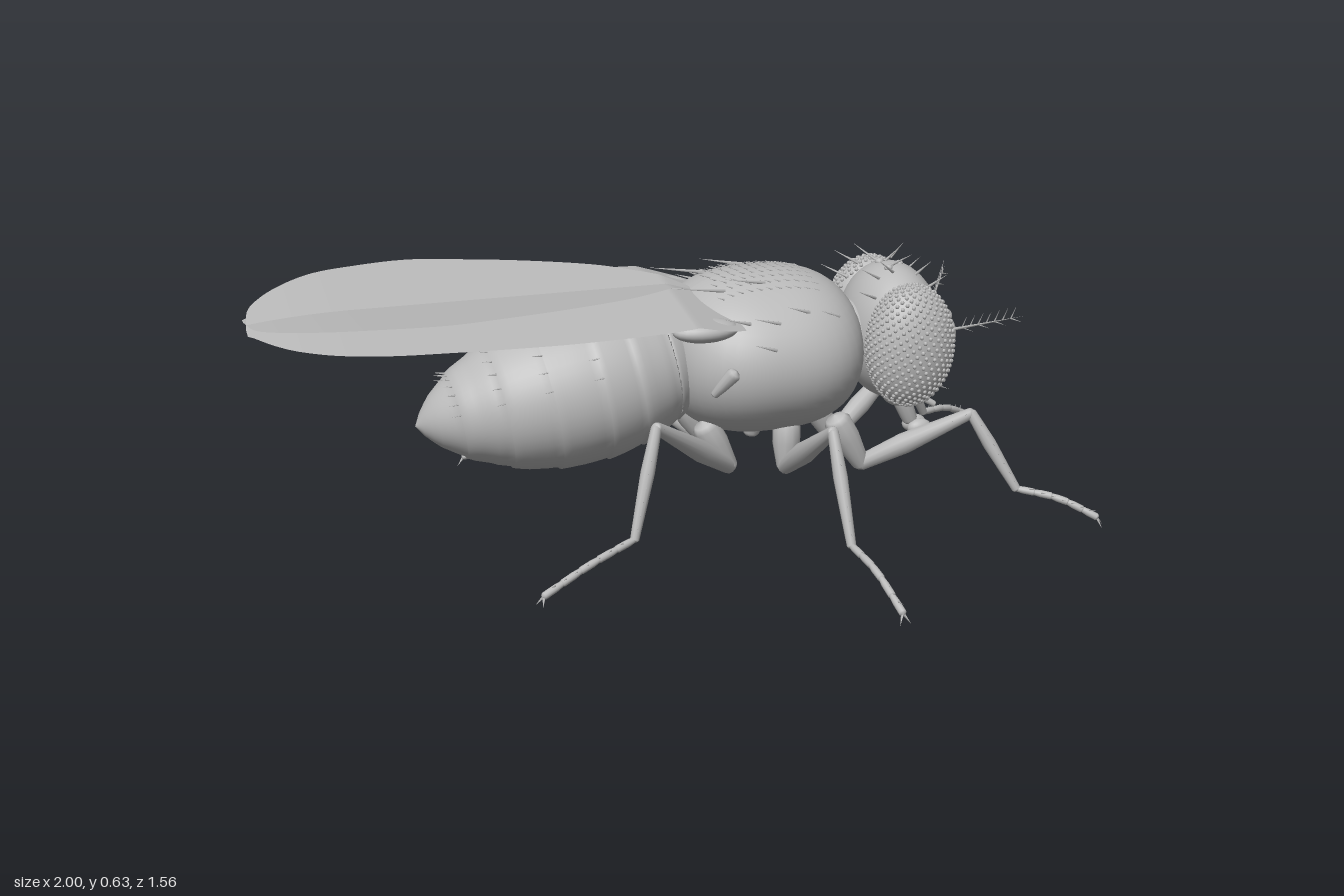
import * as THREE from 'three';
import { mergeGeometries } from 'three/addons/utils/BufferGeometryUtils.js';

const V = (x, y, z) => new THREE.Vector3(x, y, z);
const UP = V(0, 1, 0);

export function createModel() {
  const grey = new THREE.MeshStandardMaterial({ color: 0xbababa, side: THREE.DoubleSide });
  grey.name = 'body grey';
  const fly = new THREE.Group();
  fly.name = 'fly';

  const add = (name, geometry, parent = fly) => {
    const m = new THREE.Mesh(geometry, grey);
    m.name = name;
    parent.add(m);
    return m;
  };
  const ball = (c, r, w = 24, h = 16) => new THREE.SphereGeometry(1, w, h).scale(...r).translate(c.x, c.y, c.z);
  // moves a geometry that runs up y so that it starts at a and points at b
  const aim = (g, a, b) => g
    .applyQuaternion(new THREE.Quaternion().setFromUnitVectors(UP, b.clone().sub(a).normalize()))
    .translate(a.x, a.y, a.z);
  // rounded limb segment from a to b
  const limb = (a, b, r0, rm, r1) => {
    const l = a.distanceTo(b);
    const p = [[0, -r0 * 0.6], [r0 * 0.75, -r0 * 0.35], [r0, 0], [rm, l * 0.4], [r1, l], [r1 * 0.75, l + r1 * 0.4], [0, l + r1 * 0.7]];
    return aim(new THREE.LatheGeometry(p.map(q => new THREE.Vector2(...q)), 12), a, b);
  };
  const bristle = (a, b, r = 0.004) => {
    const l = a.distanceTo(b);
    return aim(new THREE.ConeGeometry(r, l, 5).translate(0, l / 2, 0), a, b);
  };

  // thorax: a sphere squared off along its length
  const TC = V(0.235, 0.41, 0), TR = V(0.245, 0.2, 0.25), P = 2.6;
  const thorax = new THREE.SphereGeometry(1, 48, 32);
  const pos = thorax.attributes.position;
  for (let i = 0; i < pos.count; i++) {
    const p = V().fromBufferAttribute(pos, i);
    const k = Math.pow(Math.abs(p.x) ** P + Math.hypot(p.y, p.z) ** P, -1 / P);
    p.multiplyScalar(k).multiply(TR).add(TC);
    pos.setXYZ(i, p.x, p.y, p.z);
  }
  thorax.computeVertexNormals();
  add('thorax', thorax);
  const thoraxTop = (x, z) => {
    const r = Math.pow(1 - Math.abs((x - TC.x) / TR.x) ** P, 1 / P);
    return V(x, TC.y + TR.y * Math.sqrt(Math.max(0, r * r - (z / TR.z) ** 2)), z);
  };
  add('scutellum', ball(V(0.04, 0.515, 0), [0.09, 0.05, 0.11]));
  add('neck', ball(V(0.47, 0.42, 0), [0.06, 0.09, 0.09]));

  // thorax bristles
  const hairs = [];
  for (let i = 0; i < 11; i++) for (let j = -4; j <= 4; j++) {
    const a = thoraxTop(0.11 + i * 0.024 + (j % 2) * 0.006, j * 0.028);
    hairs.push(bristle(a, a.clone().add(V(-0.02, 0.007, 0)), 0.0025));
  }
  for (const s of [-1, 1]) {
    for (const [x, z, l] of [[0.22, 0.085, 0.11], [0.12, 0.085, 0.14], [0.3, 0.18, 0.06], [0.22, 0.2, 0.07], [0.15, 0.19, 0.07], [0.38, 0.17, 0.05], [0.2, 0.235, 0.06]]) {
      const a = thoraxTop(x, z * s);
      hairs.push(bristle(a, a.clone().add(V(-l, 0.02, 0.01 * s)), 0.005));
    }
  }
  add('thoraxBristles', mergeGeometries(hairs));

  // abdomen: overlapping rings along a tilted axis
  const front = V(0.04, 0.405, 0), tail = V(-0.62, 0.29, 0);
  const radius = new THREE.SplineCurve([[0, 0.11], [0.06, 0.147], [0.15, 0.178], [0.25, 0.19], [0.37, 0.18], [0.47, 0.15], [0.57, 0.1], [0.635, 0.05], [0.67, 0]]
    .map(q => new THREE.Vector2(...q))).getPoints(160);
  const rAt = d => radius.reduce((m, q) => Math.abs(q.x - d) < Math.abs(m.x - d) ? q : m).y;
  const rings = [0, 0.05, 0.15, 0.24, 0.36, 0.47, 0.57, 0.67];
  const profile = [new THREE.Vector2(0, 0)];
  const abdomenHairs = [];
  const axis = tail.clone().sub(front).normalize();
  const across = V(axis.y, -axis.x, 0);
  for (let i = 0; i < rings.length - 1; i++) {
    const d0 = rings[i], d1 = rings[i + 1], last = i === rings.length - 2;
    for (let k = 0; k <= 6; k++) {
      const t = k / 6, d = d0 + (d1 - d0) * t;
      profile.push(new THREE.Vector2(last && k === 6 ? 0 : rAt(d) + (last ? 0 : 0.005 * t), d + (k ? 0 : 0.001)));
    }
    if (i > 1 && !last) for (let k = -5; k <= 5; k++) {
      const ang = k * 0.24, r = rAt(d1);
      const out = across.clone().multiplyScalar(Math.cos(ang)).add(V(0, 0, Math.sin(ang) * 1.06));
      const a = front.clone().addScaledVector(axis, d1 - 0.01).addScaledVector(out, r);
      abdomenHairs.push(bristle(a, a.clone().addScaledVector(axis, 0.035).addScaledVector(out, 0.012), 0.003));
    }
  }
  const abdomen = new THREE.LatheGeometry(profile, 48);
  add('abdomen', aim(abdomen, front, tail).scale(1, 1, 1.06));
  add('abdomenBristles', mergeGeometries(abdomenHairs));

  // head, simple eyes and mouthparts
  const head = new THREE.Group();
  head.name = 'head';
  fly.add(head);
  add('skull', ball(V(0.58, 0.425, 0), [0.122, 0.172, 0.175], 40, 28), head);
  [[0.6, 0], [0.56, 0.03], [0.56, -0.03]].forEach(([x, z]) => add('simpleEye', ball(V(x, 0.592, z), [0.011, 0.009, 0.011], 10, 8), head));
  add('mouthBase', ball(V(0.61, 0.265, 0), [0.045, 0.045, 0.042]), head);
  add('proboscis', limb(V(0.615, 0.25, 0), V(0.645, 0.18, 0), 0.026, 0.024, 0.02), head);
  for (const s of [-1, 1]) {
    add('mouthPad', ball(V(0.665, 0.16, 0.018 * s), [0.032, 0.023, 0.02]), head);
    add('mouthFeeler', limb(V(0.64, 0.26, 0.035 * s), V(0.69, 0.23, 0.045 * s), 0.006, 0.009, 0.008), head);

    // compound eye covered in small facets
    const c = V(0.578, 0.425, 0.138 * s), r = V(0.11, 0.152, 0.084);
    const facets = [ball(c, r.toArray(), 40, 28)];
    const n = 700;
    for (let i = 0; i < n; i++) {
      const y = 1 - 2 * (i + 0.5) / n, q = Math.sqrt(1 - y * y), a = i * 2.39996;
      const u = V(q * Math.cos(a), y, q * Math.sin(a));
      if (u.z * s < -0.35) continue;
      const p = u.multiply(r).add(c);
      facets.push(ball(p, [0.0055, 0.0055, 0.0055], 6, 4));
    }
    add('compoundEye', mergeGeometries(facets), head);

    // antenna with a feathery bristle
    add('antennaBase', ball(V(0.7, 0.465, 0.058 * s), [0.022, 0.02, 0.02]), head);
    add('antennaTip', ball(V(0.712, 0.42, 0.064 * s), [0.02, 0.038, 0.019]), head);
    const a = V(0.72, 0.435, 0.08 * s), b = V(0.83, 0.505, 0.235 * s);
    const feather = [bristle(a, b, 0.004)];
    for (let i = 1; i < 8; i++) {
      const p = a.clone().lerp(b, i / 8.5);
      feather.push(bristle(p, p.clone().add(V(0.008, 0.035, 0.012 * s)), 0.002));
      if (i % 2) feather.push(bristle(p, p.clone().add(V(0.025, -0.008, 0.014 * s)), 0.002));
    }
    add('antennaBristle', mergeGeometries(feather), head);

    // head bristles
    const crown = [[0.52, 0.58, 0.07, -0.06, 0.035, 0.02], [0.56, 0.59, 0.06, -0.05, 0.04, 0.03], [0.61, 0.585, 0.08, 0.04, 0.035, 0.01],
      [0.65, 0.55, 0.075, 0.045, 0.03, 0.01], [0.57, 0.595, 0.02, 0.05, 0.03, 0.02], [0.66, 0.3, 0.08, 0.04, -0.01, 0.03], [0.5, 0.54, 0.1, -0.06, 0.03, 0.03]]
      .map(([x, y, z, dx, dy, dz]) => bristle(V(x, y, z * s), V(x + dx, y + dy, (z + dz) * s), 0.004));
    add('headBristles', mergeGeometries(crown), head);
  }

  // wings: sheets that tilt outwards and cross over the back; stations are x, outer z, inner z
  const stations = [[0.13, 0.22, 0.16], [0.08, 0.25, 0], [0, 0.272, -0.06], [-0.04, 0.28, -0.09], [-0.13, 0.29, -0.15], [-0.3, 0.297, -0.215],
    [-0.45, 0.293, -0.255], [-0.58, 0.285, -0.28], [-0.72, 0.272, -0.265], [-0.82, 0.245, -0.24], [-0.9, 0.195, -0.19], [-0.95, 0.14, -0.14],
    [-0.985, 0.085, -0.08], [-1, 0.065, 0.03]];
  const outline = new THREE.CatmullRomCurve3(stations.map(q => V(...q))).getPoints(70);
  for (const s of [-1, 1]) {
    const verts = [], index = [];
    outline.forEach((q, i) => {
      for (const z of [q.y, q.z]) {
        const x = Math.max(q.x, -1);
        verts.push(x, 0.59 - 0.11 * z - 0.3 * Math.max(0, x) - 0.25 * Math.max(0, -0.75 - x) ** 2, z * s);
      }
      const k = i * 2;
      if (i) index.push(...(s > 0 ? [k - 2, k - 1, k, k - 1, k + 1, k] : [k - 2, k, k - 1, k - 1, k, k + 1]));
    });
    // wind the sheet so that its face points up
    index.reverse();
    const g = new THREE.BufferGeometry();
    g.setAttribute('position', new THREE.Float32BufferAttribute(verts, 3));
    g.setIndex(index);
    g.computeVertexNormals();
    if (g.attributes.normal.getY(60) < 0) {
      g.setIndex(index.slice().reverse());
      g.computeVertexNormals();
    }
    add(s > 0 ? 'rightWing' : 'leftWing', g);
    add('wingHinge', ball(V(0.04, 0.525, 0.185 * s), [0.08, 0.028, 0.045]));
    add('balancer', limb(V(0.055, 0.375, 0.215 * s), V(0.09, 0.43, 0.245 * s), 0.01, 0.014, 0.018));
  }

  // legs: body joint, coxa end, knee, ankle, mid foot, toe
  const legs = {
    frontLeg: [[0.41, 0.23, 0.1], [0.475, 0.115, 0.1], [0.71, 0.265, 0.225], [0.81, 0.08, 0.29], [0.9, 0.065, 0.345], [0.98, 0.025, 0.39]],
    middleLeg: [[0.27, 0.24, 0.12], [0.265, 0.14, 0.13], [0.28, 0.325, 0.405], [0.29, 0.085, 0.515], [0.3, 0.075, 0.64], [0.315, 0.025, 0.765]],
    hindLeg: [[0.07, 0.25, 0.1], [0.13, 0.145, 0.1], [-0.11, 0.335, 0.29], [-0.18, 0.09, 0.35], [-0.3, 0.065, 0.405], [-0.42, 0.025, 0.455]],
  };
  for (const [name, path] of Object.entries(legs)) for (const s of [-1, 1]) {
    const leg = new THREE.Group();
    leg.name = name;
    fly.add(leg);
    const [hip, coxa, knee, ankle, mid, toe] = path.map(([x, y, z]) => V(x, y, z * s));
    add('coxa', limb(hip, coxa, 0.034, 0.034, 0.022), leg);
    add('femur', limb(coxa, knee, 0.02, 0.027, 0.014), leg);
    add('tibia', limb(knee, ankle, 0.013, 0.017, 0.011), leg);
    const foot = new THREE.CatmullRomCurve3([ankle, mid, toe]).getPoints(5);
    for (let i = 0; i < 5; i++) add('footSegment', limb(foot[i], foot[i + 1], 0.007, 0.009, 0.009), leg);
    // claws and leg bristles
    const dir = toe.clone().sub(mid).setY(0).normalize(), side = V(-dir.z, 0, dir.x);
    const spines = [-1, 1].map(k => bristle(toe, toe.clone().addScaledVector(dir, 0.015).addScaledVector(side, 0.014 * k).setY(0.002), 0.004));
    for (const [a, b] of [[coxa, knee], [knee, ankle], [ankle, toe]]) for (let i = 1; i < 8; i++) {
      const p = a.clone().lerp(b, i / 8);
      const d = b.clone().sub(a).normalize().multiplyScalar(0.018);
      if (a === ankle) p.y += 0.008;
      spines.push(bristle(p, p.clone().add(d).add(V(0, 0.012, 0.02 * s)), 0.0025));
    }
    add('legBristles', mergeGeometries(spines), leg);
  }
  return fly;
}
